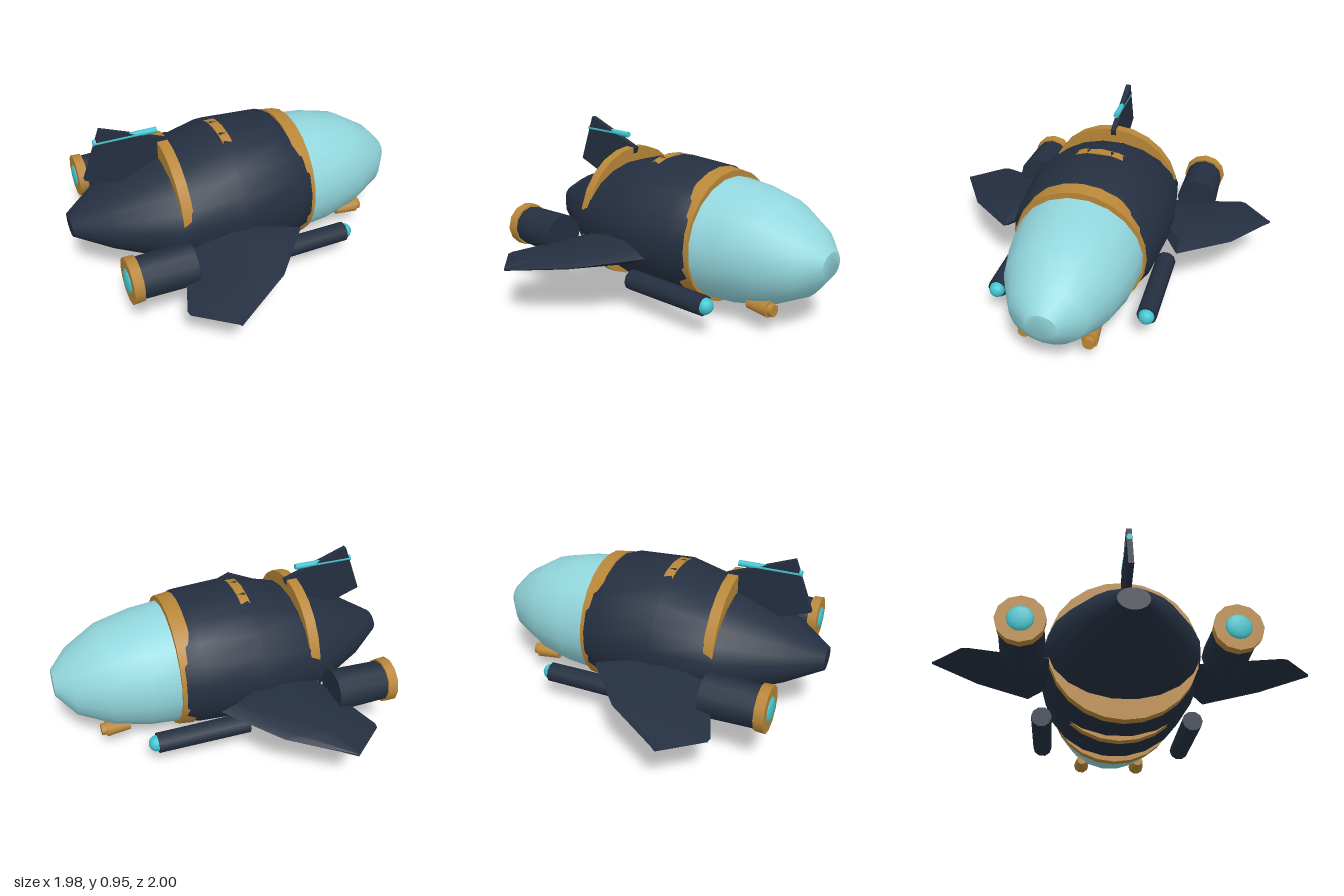
import * as THREE from 'three';
import { toCreasedNormals } from 'three/addons/utils/BufferGeometryUtils.js';

const paint = (name, color) => {
  const m = new THREE.MeshStandardMaterial({ color });
  m.name = name;
  return m;
};

// Skin a list of equal-length closed rings of [x, y, z] points, with end caps
function loft(rings, crease) {
  const n = rings[0].length, index = [];
  for (let i = 0; i < rings.length - 1; i++) {
    for (let j = 0; j < n; j++) {
      const a = i * n + j, b = i * n + (j + 1) % n;
      index.push(a, b, a + n, b, b + n, a + n);
    }
  }
  const last = (rings.length - 1) * n;
  for (let j = 1; j < n - 1; j++) {
    index.push(0, j + 1, j, last, last + j, last + j + 1);
  }
  const g = new THREE.BufferGeometry();
  g.setAttribute('position', new THREE.Float32BufferAttribute(rings.flat(2), 3));
  g.setIndex(index);
  return toCreasedNormals(g, crease);
}

// Elliptical rings along x from [x, bottom, top, half width] stations
function body(stations, sides) {
  return loft(stations.map(([x, bottom, top, rz]) =>
    Array.from({ length: sides }, (_, j) => {
      const a = (j + 0.5) / sides * Math.PI * 2;
      return [x, (top + bottom) / 2 + Math.cos(a) * (top - bottom) / 2, Math.sin(a) * rz];
    })), 0.7);
}

// Lens-shaped wing sections across the span: [z, leading x, trailing x, half thickness, middle y]
function wing(side) {
  const lens = [[0, 0], [0.12, 0.7], [0.45, 1], [0.75, 0.65], [1, 0], [0.75, -0.65], [0.45, -1], [0.12, -0.7]];
  const sections = [
    [0.33, -0.2, -0.44, 0.06, 0.355], [0.52, 0.17, -0.51, 0.055, 0.35],
    [0.8, -0.08, -0.615, 0.028, 0.338], [0.83, -0.13, -0.61, 0.025, 0.336],
    [1, -0.405, -0.415, 0.008, 0.33],
  ];
  const rings = sections.map(([z, lead, trail, t, y]) => lens.map(([u, v]) => {
    const x = lead + (trail - lead) * u;
    return [x, y + t * v + 0.08 * (x + 0.15), z * side];
  }));
  return loft(side > 0 ? rings : rings.reverse(), 0.5);
}

// Cylinder along x, from x0 (radius r0) to x1 (radius r1)
function tube(x0, x1, r0, r1, sides) {
  const g = new THREE.CylinderGeometry(r1, r0, x1 - x0, sides);
  g.rotateZ(-Math.PI / 2);
  g.translate((x0 + x1) / 2, 0, 0);
  return g;
}

export function createModel() {
  const navy = paint('navy hull', 0x242f40);
  const gold = paint('gold trim', 0xb88638);
  const glass = paint('pale canopy', 0x92d6dd);
  const cyan = paint('cyan glow', 0x42c5d0);

  const model = new THREE.Group();
  model.name = 'spaceship';
  const add = (name, geometry, material, y = 0, z = 0, x = 0) => {
    const mesh = new THREE.Mesh(geometry, material);
    mesh.name = name;
    mesh.position.set(x, y, z);
    model.add(mesh);
    return mesh;
  };

  // Hull and canopy
  add('hull', body([
    [-0.99, 0.34, 0.46, 0.08], [-0.8, 0.25, 0.57, 0.24], [-0.48, 0.115, 0.705, 0.41],
    [-0.12, 0.03, 0.81, 0.455], [0.22, 0.04, 0.797, 0.425], [0.315, 0.055, 0.765, 0.388],
  ], 20), navy);
  add('canopy', body([
    [0.3, 0.05, 0.755, 0.372], [0.5, 0.065, 0.735, 0.355], [0.7, 0.11, 0.69, 0.305],
    [0.89, 0.205, 0.575, 0.205], [0.99, 0.33, 0.47, 0.085],
  ], 20), glass);

  // Trim bands
  add('frontBand', tube(0.255, 0.34, 0.39, 0.38, 24), gold, 0.405);
  add('middleBand', tube(-0.13, -0.075, 0.403, 0.403, 24), gold, 0.41);
  add('aftBand', tube(-0.465, -0.405, 0.405, 0.405, 24), gold, 0.405);

  // Tail fin with glowing rod
  const fin = add('tailFin', new THREE.BoxGeometry(0.407, 0.305, 0.03), navy, 0.738, 0, -0.635);
  fin.rotation.z = -0.365;
  add('tailRod', tube(-0.81, -0.46, 0.017, 0.017, 10), cyan, 0.876);

  // Paired parts on each side
  for (const side of [1, -1]) {
    const tag = side > 0 ? 'left' : 'right';
    add(tag + 'Wing', wing(side), navy);

    // Engine
    add(tag + 'Engine', tube(-0.79, -0.48, 0.113, 0.121, 12), navy, 0.36, 0.53 * side);
    add(tag + 'EngineRim', tube(-0.83, -0.775, 0.127, 0.124, 12), gold, 0.36, 0.53 * side);
    const nozzle = new THREE.SphereGeometry(0.068, 12, 8);
    nozzle.scale(0.25, 1, 1);
    add(tag + 'Nozzle', nozzle, cyan, 0.36, 0.53 * side, -0.829);

    // Cannon
    add(tag + 'Cannon', tube(-0.02, 0.51, 0.059, 0.057, 10), navy, 0.18, 0.433 * side);
    add(tag + 'CannonTip', new THREE.SphereGeometry(0.045, 12, 8), cyan, 0.18, 0.433 * side, 0.515);

    // Headlamp under the canopy
    add(tag + 'Lamp', tube(0.61, 0.745, 0.032, 0.047, 10), gold, 0.142, 0.18 * side);
    add(tag + 'LampTip', tube(0.74, 0.775, 0.036, 0.034, 10), gold, 0.142, 0.18 * side);
  }
  return model;
}
